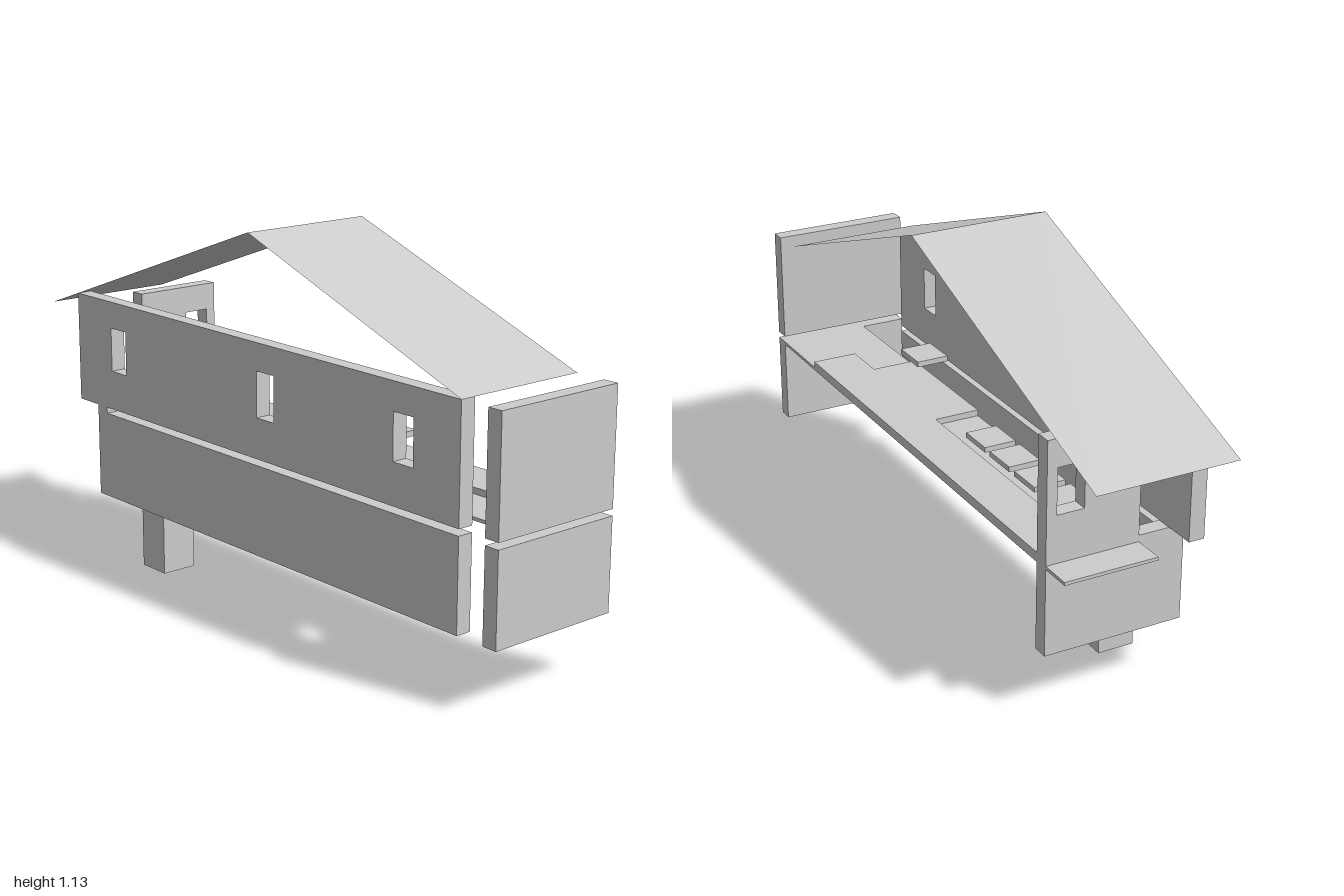
import * as THREE from 'three';

export function createModel() {
  const model = new THREE.Group();
  model.name = 'house';
  const grey = new THREE.MeshStandardMaterial({ color: 0xcccccc });
  grey.name = 'light grey';
  const sheetGrey = grey.clone();
  sheetGrey.side = THREE.DoubleSide;

  const add = (name, geometry, material = grey) => {
    const mesh = new THREE.Mesh(geometry, material);
    mesh.name = name;
    model.add(mesh);
    return mesh;
  };

  // Box given by its limits on each axis
  const box = (name, [x0, x1], [y0, y1], [z0, z1]) =>
    add(name, new THREE.BoxGeometry(x1 - x0, y1 - y0, z1 - z0))
      .position.set((x0 + x1) / 2, (y0 + y1) / 2, (z0 + z1) / 2);

  // Upright wall in the xy plane with rectangular windows
  const rect = (path, [u0, u1], [v0, v1]) =>
    path.moveTo(u0, v0).lineTo(u1, v0).lineTo(u1, v1).lineTo(u0, v1).closePath();
  const wall = (name, u, v, windows) => {
    const shape = new THREE.Shape();
    rect(shape, u, v);
    for (const w of windows) {
      const hole = new THREE.Path();
      rect(hole, w, [0.605, 0.742]);
      shape.holes.push(hole);
    }
    return add(name, new THREE.ExtrudeGeometry(shape, { depth: T, bevelEnabled: false }));
  };

  const T = 0.048, W = 0.214, S = 0.0715;
  const BASE = 0.19, LOW = 0.463, DECK = 0.482, TOP = 0.825;
  const full = [-W, W];

  // Front panels, separated by a narrow slot
  box('lowerFrontPanel', full, [BASE, LOW], [1 - T, 1]);
  box('upperFrontPanel', full, [DECK, TOP], [1 - T, 1]);

  // Long side wall: plain below, three windows above
  box('lowerSideWall', [-W, -W + T], [BASE, LOW], [-0.714, 0.858]);
  const side = wall('upperSideWall', [-0.858, 0.858], [DECK, TOP],
    [[-0.684, -0.607], [-0.112, -0.036], [0.605, 0.681]]);
  side.rotation.y = Math.PI / 2;
  side.position.x = -W;

  // Rear walls
  box('lowerBackWall', full, [BASE, DECK], [-0.714 - T, -0.714]);
  wall('upperBackWall', [-S, W], [DECK, TOP], [[0.1, 0.183]]).position.z = -0.714 - T;

  // Floor slab with raised deck around the stair recess
  box('floorSlab', [-S, W], [0.453, LOW], [-0.858, 0.99]);
  box('deckStrip', [S, W], [LOW, DECK], [-0.714, 0.714]);
  box('deckLanding', [-S, S], [LOW, DECK], [0.143, 0.571]);

  // Treads and a single floating shelf
  for (let i = 0; i < 4; i++) {
    const z = -0.069 - i * 0.1435;
    box('tread', [-0.05, 0.05], [DECK, 0.498], [z - 0.058, z + 0.058]);
  }
  box('shelf', [-0.05, 0.05], [0.587, 0.604], [0.301, 0.417]);

  // Supporting column
  box('column', [-0.2, -0.086], [0, 0.347], [-0.554, -0.444]);

  // Folded sheet roof
  const profile = [[0.858, 0.825], [0, 1.133], [-1, 0.774]];
  for (let i = 0; i < 2; i++) {
    const [[za, ya], [zb, yb]] = [profile[i], profile[i + 1]];
    const geometry = new THREE.BufferGeometry();
    geometry.setAttribute('position', new THREE.Float32BufferAttribute(
      [-W, ya, za, W, ya, za, W, yb, zb, -W, yb, zb], 3));
    geometry.setIndex([0, 1, 2, 0, 2, 3]);
    geometry.computeVertexNormals();
    add(i ? 'backRoof' : 'frontRoof', geometry, sheetGrey);
  }
  return model;
}
